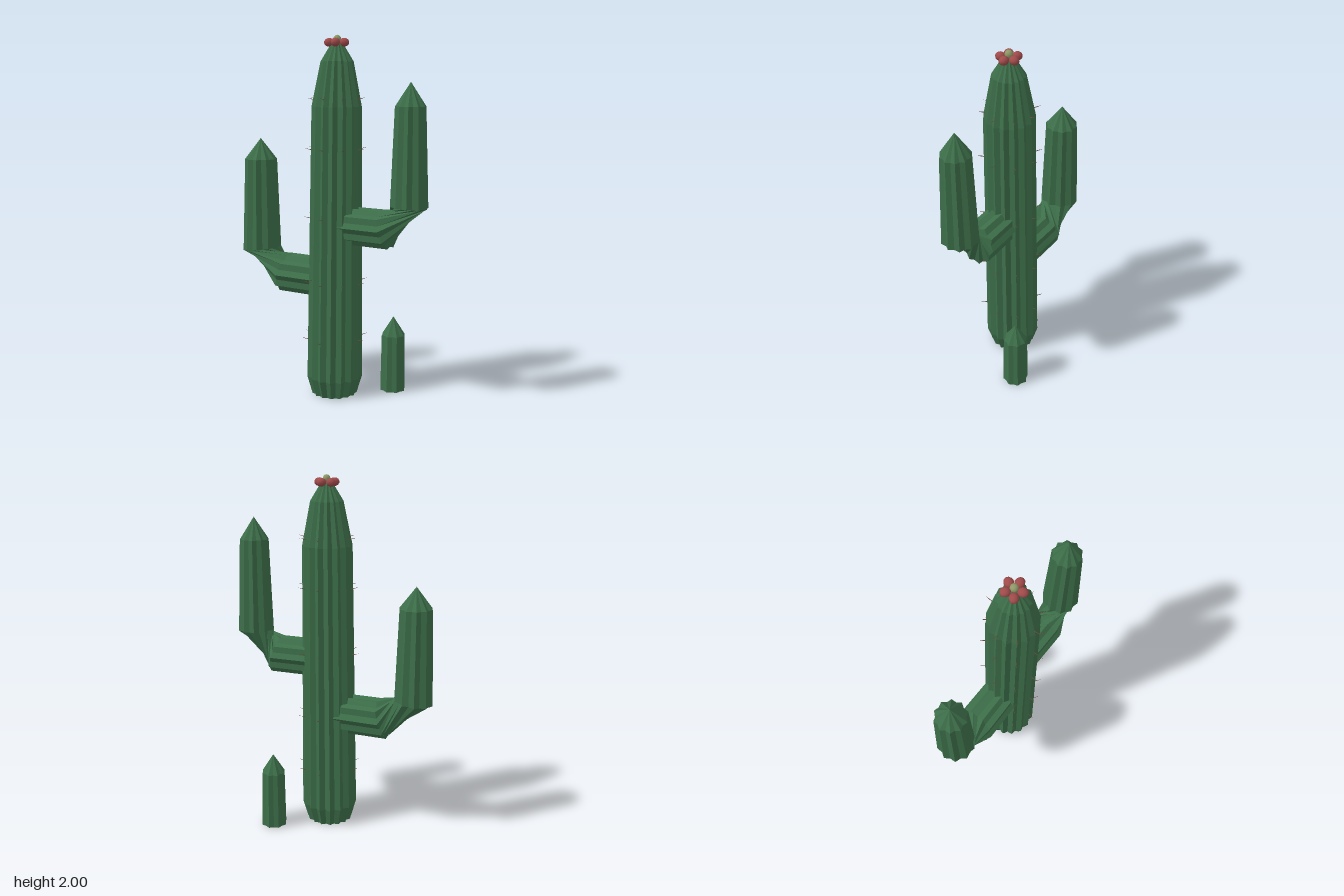
import * as THREE from 'three';

const V = (x, y, z) => new THREE.Vector3(x, y, z);
const UP = V(0, 1, 0), FRONT = V(0, 0, 1);

const mat = (name, color) => {
  const m = new THREE.MeshStandardMaterial({ color });
  m.name = name;
  return m;
};

// Faceted ribbed body through rings {c: centre, t: direction, r: radius}, closed with a tip
function ribbed(rings, tip, ribs, valley) {
  const n = ribs * 2, pos = [];
  const tri = (...p) => p.forEach(q => pos.push(q.x, q.y, q.z));
  const loops = rings.map(({ c, t = UP, r }) => {
    t = t.clone().normalize();
    const u = t.clone().cross(Math.abs(t.y) > 0.8 ? FRONT : UP).normalize();
    const v = u.clone().cross(t);
    return Array.from({ length: n }, (_, i) => {
      const a = i / n * Math.PI * 2, k = i % 2 ? r * valley : r;
      return c.clone().addScaledVector(u, k * Math.cos(a)).addScaledVector(v, k * Math.sin(a));
    });
  });
  const last = loops[loops.length - 1];
  for (let j = 0; j < n; j++) {
    const k = (j + 1) % n;
    tri(rings[0].c, loops[0][j], loops[0][k]);
    for (let i = 0; i + 1 < loops.length; i++) {
      const a = loops[i], b = loops[i + 1];
      tri(a[j], b[j], a[k]);
      tri(a[k], b[j], b[k]);
    }
    tri(last[j], tip, last[k]);
  }
  const g = new THREE.BufferGeometry();
  g.setAttribute('position', new THREE.Float32BufferAttribute(pos, 3));
  g.computeVertexNormals();
  return g;
}

export function createModel() {
  const root = new THREE.Group();
  root.name = 'cactus';
  const green = mat('cactus green', 0x3d6f4a);
  const red = mat('petal red', 0xa04a4a);
  const pale = mat('bud pale green', 0x8f9a68);
  const brown = mat('spine brown', 0x6e4f3c);
  const add = (parent, name, geo, m) => {
    const mesh = new THREE.Mesh(geo, m);
    mesh.name = name;
    parent.add(mesh);
    return mesh;
  };

  // Trunk, leaning very slightly
  const Z = 0.046;
  const trunk = [[0, 0.02, 0.128], [0.1, 0.021, 0.157], [1.62, 0.034, 0.138], [1.86, 0.037, 0.09], [1.95, 0.037, 0.035]];
  add(root, 'trunk', ribbed(trunk.map(([y, x, r]) => ({ c: V(x, y, Z), r })), V(0.037, 1.965, Z), 16, 0.88), green);

  // Arms: sideways stub, twisted elbow, then an upright
  const arms = [
    { name: 'leftArm', s: 1, z: 0.048, y: 0.975, r: 0.11, ex: 0.345, x: 0.48, by: 1.105, br: 0.102, lean: 0.04, ty: 1.63, tr: 0.082, tip: 1.755 },
    { name: 'rightArm', s: -1, z: 0.043, y: 0.663, r: 0.116, ex: 0.305, x: 0.478, by: 0.785, br: 0.111, lean: 0.12, ty: 1.31, tr: 0.092, tip: 1.43 },
  ];
  for (const a of arms) {
    add(root, a.name, ribbed([
      { c: V(0.025 + a.s * 0.02, a.y, a.z), t: V(a.s, 0, 0), r: a.r * 0.96 },
      { c: V(a.s * a.ex, a.y, a.z), t: V(a.s, 0.27, 0), r: a.r },
      { c: V(a.s * a.x, a.by, a.z), t: V(a.s * a.lean, 1, 0), r: a.br },
      { c: V(a.s * a.x, a.ty, a.z), r: a.tr },
    ], V(a.s * a.x, a.tip, a.z), 10, 0.86), green);
  }

  // Young shoot behind the trunk
  add(root, 'shoot', ribbed([
    { c: V(0.287, 0, -0.162), r: 0.074 },
    { c: V(0.287, 0.325, -0.162), r: 0.068 },
  ], V(0.287, 0.432, -0.162), 8, 0.86), green);

  // Spines in rows round the trunk
  const spines = new THREE.Group();
  spines.name = 'spines';
  root.add(spines);
  const spineGeo = new THREE.ConeGeometry(0.003, 0.045, 4).translate(0, 0.0175, 0);
  for (const y of [0.325, 0.65, 1.015, 1.39, 1.66]) {
    const f = (y - 0.1) / 1.52;
    const r = y > 1.62 ? 0.13 : 0.157 - 0.019 * f;
    for (let i = 0; i < 8; i++) {
      const a = i * Math.PI / 4;
      const s = add(spines, 'spine', spineGeo, brown);
      s.position.set(0.021 + 0.013 * f + r * Math.cos(a), y, Z + r * Math.sin(a));
      s.quaternion.setFromUnitVectors(UP, V(Math.cos(a), 0.25, Math.sin(a)).normalize());
    }
  }

  // Flower: five rounded petals and a bud
  const flower = new THREE.Group();
  flower.name = 'flower';
  flower.position.set(0.037, 1.96, 0.044);
  root.add(flower);
  const petalGeo = new THREE.SphereGeometry(1, 10, 7).scale(0.028, 0.023, 0.025);
  for (let i = 0; i < 5; i++) {
    const a = i * Math.PI * 2 / 5;
    const p = add(flower, 'petal', petalGeo, red);
    p.position.set(0.043 * Math.cos(a), 0, 0.043 * Math.sin(a));
    p.rotation.y = -a;
  }
  add(flower, 'bud', new THREE.SphereGeometry(0.022, 8, 6), pale).position.y = 0.018;
  return root;
}
